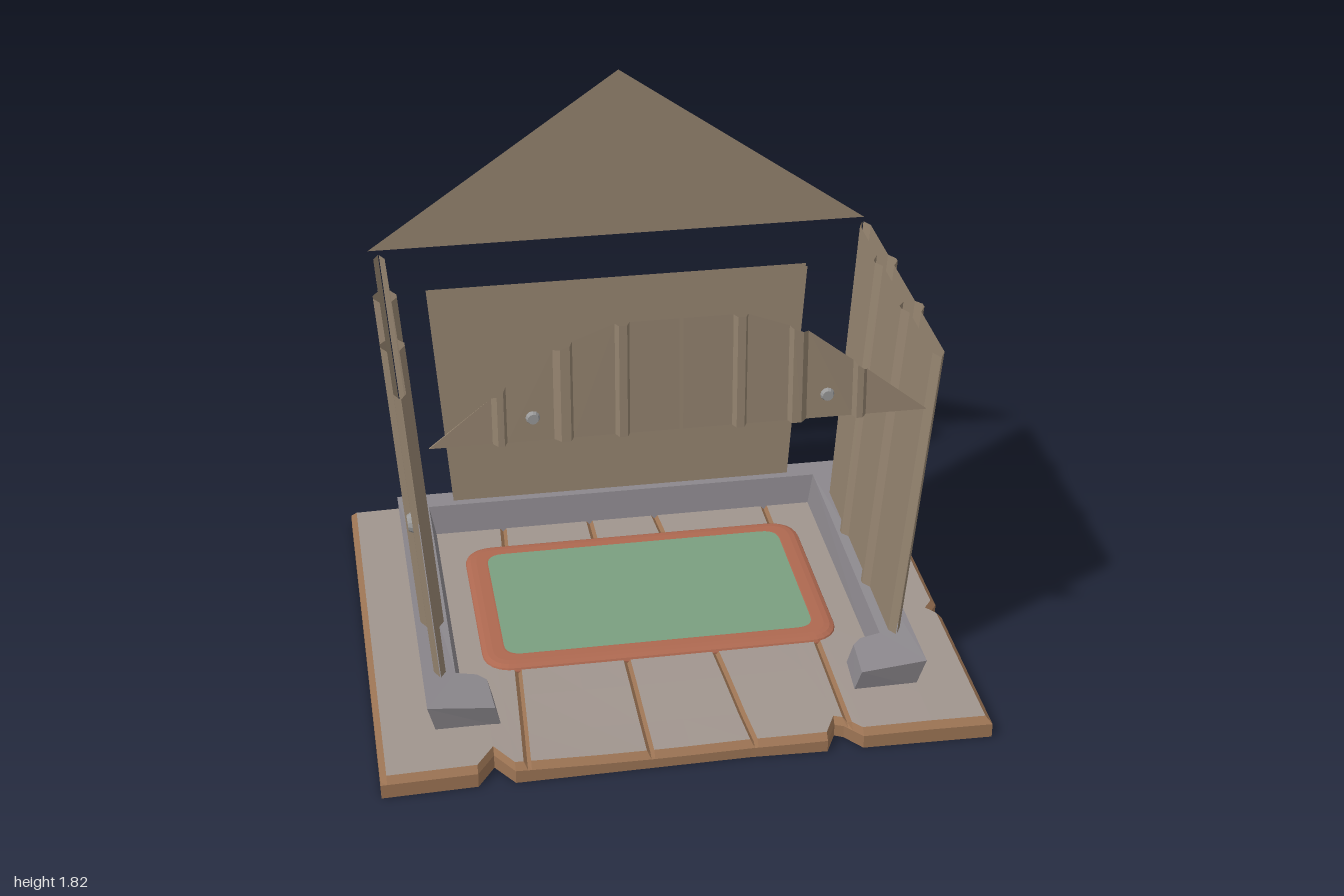
import * as THREE from 'three';

const mat = (color) => new THREE.MeshStandardMaterial({ color, side: THREE.DoubleSide, flatShading: true });
const metalSheet = mat(0x94836f), stone = mat(0x8b878c), plankTop = mat(0xa0958e), plankEdge = mat(0x9c7454);
const rugRed = mat(0xad6850), rugGreen = mat(0x7a9f80), boltGrey = mat(0x999999);

function add(parent, name, geometry, material) {
  const mesh = new THREE.Mesh(geometry, material);
  mesh.name = name;
  parent.add(mesh);
  return mesh;
}

// Piecewise linear lookup through [x, value] pairs
function lookup(pairs, x) {
  for (let i = 1; i < pairs.length; i++) {
    const [a, va] = pairs[i - 1], [b, vb] = pairs[i];
    if (x <= b) return va + (vb - va) * Math.max(0, (x - a) / (b - a));
  }
  return pairs[pairs.length - 1][1];
}

// Faceted surface through rows of [x, y, z] points; keep() selects the quads
function surface(rows, keep = () => true) {
  const pos = [];
  for (let j = 0; j < rows.length - 1; j++) {
    for (let i = 0; i < rows[j].length - 1; i++) {
      if (!keep(i, j)) continue;
      const a = rows[j][i], b = rows[j][i + 1], c = rows[j + 1][i + 1], d = rows[j + 1][i];
      pos.push(...a, ...d, ...c, ...a, ...c, ...b);
    }
  }
  const g = new THREE.BufferGeometry();
  g.setAttribute('position', new THREE.Float32BufferAttribute(pos, 3));
  g.computeVertexNormals();
  return g;
}

function roundedRect(path, w, d, r) {
  path.moveTo(-w + r, -d);
  path.lineTo(w - r, -d).quadraticCurveTo(w, -d, w, -d + r);
  path.lineTo(w, d - r).quadraticCurveTo(w, d, w - r, d);
  path.lineTo(-w + r, d).quadraticCurveTo(-w, d, -w, d - r);
  path.lineTo(-w, -d + r).quadraticCurveTo(-w, -d, -w + r, -d);
  return path;
}

// Worn plank floor: an open-bottomed shell with ragged ends and grooves
function buildFloor() {
  const floor = new THREE.Group();
  floor.name = 'floor';
  const backEdge = [[-1, -0.82], [-0.7, -0.83], [-0.13, -0.8], [0.1, -0.825], [0.53, -0.8], [1, -0.825]];
  const frontEdge = [[-1, 0.83], [-0.69, 0.82], [-0.63, 0.73], [-0.57, 0.82], [0.2, 0.81],
    [0.45, 0.82], [0.49, 0.74], [0.515, 0.75], [0.57, 0.82], [1, 0.83]];
  // Columns: back x, front x, height, groove flag
  const cols = [[-1, -1, 0], [-1, -1, 0.05], [-0.98, -0.98, 0.072]];
  const plain = (x) => cols.push([x, x, 0.072]);
  const groove = (b, f) => [-0.012, 0, 0.012].forEach((o) => cols.push([b + o, f + o, o ? 0.072 : 0.06, o < 0.01]));
  [-0.69, -0.63, -0.57].forEach(plain);
  groove(-0.44, -0.53);
  plain(-0.3);
  groove(-0.13, -0.13);
  plain(0);
  groove(0.1, 0.21);
  [0.33, 0.45, 0.49].forEach(plain);
  groove(0.53, 0.53);
  [0.57, 0.8].forEach(plain);
  cols.push([0.98, 0.98, 0.072], [1, 1, 0.05], [1, 1, 0]);
  // Rows: either offset from an edge or an inner z
  const rows = [['b', 0, 0], ['b', 0, 0.05], ['b', 0.02, 0.072]];
  [-0.5, 0, 0.12, 0.16, 0.2, 0.45, 0.65].forEach((z) => rows.push(['m', z, 0.072]));
  rows.push(['f', -0.02, 0.072], ['f', 0, 0.05], ['f', 0, 0]);
  const grid = rows.map(([kind, v, hr]) => cols.map(([xb, xf, hc], i) => {
    const t = kind === 'b' ? 0 : kind === 'f' ? 1 : (v + 0.82) / 1.64;
    let x = xb + (xf - xb) * t;
    const z = kind === 'b' ? lookup(backEdge, x) + v : kind === 'f' ? lookup(frontEdge, x) + v : v;
    if (v === 0.16 && i >= cols.length - 3) x -= 0.03;
    let y = Math.min(hr, hc);
    if (y > 0.04) y -= 0.016 * Math.max(0, 1 - (x / 0.65) ** 2) * THREE.MathUtils.smoothstep(z, 0.3, 0.8);
    return [x, y, z];
  }));
  const isEdge = (i, j) => i < 2 || j < 2 || i > cols.length - 4 || j > rows.length - 4 || !!cols[i][3];
  add(floor, 'floorPlanks', surface(grid, (i, j) => !isEdge(i, j)), plankTop);
  add(floor, 'floorEdgesAndGrooves', surface(grid, isEdge), plankEdge);
  return floor;
}

// U-shaped kerb with wider front feet, narrowing towards its base
function buildFoundation() {
  const half = [[0.72, -0.62], [0.72, 0.41], [0.65, 0.42], [0.62, 0.45], [0.61, 0.61], [0.83, 0.61], [0.83, -0.71]];
  const pts = [...half, ...half.map(([x, z]) => [-x, z]).reverse()];
  const shape = new THREE.Shape(pts.map(([x, z]) => new THREE.Vector2(x, -z)));
  const g = new THREE.ExtrudeGeometry(shape, { depth: 0.125, bevelEnabled: false });
  g.rotateX(-Math.PI / 2);
  const p = g.attributes.position;
  for (let i = 0; i < p.count; i++) {
    let x = p.getX(i), y = p.getY(i), z = p.getZ(i);
    if (y < 0.01) { x *= 0.965; z *= 0.965; }
    else if (z > 0.4) y -= 0.01 + (0.83 - Math.abs(x)) * 0.1;
    p.setXYZ(i, x, y + 0.055, z);
  }
  g.computeVertexNormals();
  return g;
}

function buildRug() {
  const rug = new THREE.Group();
  rug.name = 'rug';
  const border = roundedRect(new THREE.Shape(), 0.575, 0.35, 0.07);
  border.holes.push(roundedRect(new THREE.Path(), 0.54, 0.32, 0.06));
  const bevel = { depth: 0.005, bevelSize: 0.04, bevelThickness: 0.02, bevelSegments: 3, curveSegments: 6 };
  add(rug, 'rugBorder', new THREE.ExtrudeGeometry(border, bevel).rotateX(-Math.PI / 2).translate(0, 0.062, 0), rugRed);
  add(rug, 'rugCentre', new THREE.ShapeGeometry(roundedRect(new THREE.Shape(), 0.535, 0.317, 0.06), 6)
    .rotateX(-Math.PI / 2).translate(0, 0.088, 0), rugGreen);
  rug.position.z = -0.085;
  return rug;
}

// Corrugated side wall on +x: inner and outer skins leaning outwards, with bolts
function buildSideWall() {
  const wall = new THREE.Group();
  const profile = [[0.48, -0.018], [0.445, 0], [0.16, 0], [0.125, 0.02], [0.105, 0.02], [0.08, 0],
    [-0.195, 0], [-0.225, 0.02], [-0.245, 0.02], [-0.28, 0], [-0.525, 0], [-0.56, -0.018]];
  const lean = 0.076, y0 = 0.16, y1 = 1.24;
  const skin = (x, sign) => surface([[y1, 1], [y0, 0.913]].map(([y, s]) =>
    profile.map(([z, o]) => [x + lean * (y - y1) + o * sign, y, -0.04 + (z + 0.04) * s])));
  add(wall, 'outerSheet', skin(0.872, 1), metalSheet);
  add(wall, 'innerSheet', skin(0.833, -1), metalSheet);
  for (const z of [0.29, -0.05, -0.38]) {
    const bolt = add(wall, 'wallBolt', new THREE.CylinderGeometry(0.026, 0.035, 0.016, 12), boltGrey);
    bolt.position.set(0.836, 0.68, z);
    bolt.rotation.z = -Math.PI / 2 - lean;
  }
  return wall;
}

// Arched, ribbed front panel, in two halves
function buildFrontPanel() {
  const panel = new THREE.Group();
  panel.name = 'frontPanel';
  const arch = [[0, 1.5], [0.2, 1.5], [0.395, 1.425], [0.58, 1.28], [0.78, 1.12]];
  const ribs = [[0.006, 0], [0.16, 0], [0.17, 0.022], [0.195, 0.022], [0.205, 0], [0.335, 0], [0.345, 0.022],
    [0.375, 0.022], [0.395, 0], [0.54, 0], [0.55, 0.022], [0.57, 0.022], [0.585, 0], [0.78, 0]];
  for (const side of [1, -1]) {
    const top = ribs.map(([x, o]) => [x * side, lookup(arch, x), 0.582 + o]);
    const bottom = ribs.map(([x, o]) => [x * side, 1.12, 0.588 + o]);
    add(panel, 'archSheet', surface([top, bottom]), metalSheet);
    const bolt = add(panel, 'archBolt', new THREE.CylinderGeometry(0.017, 0.023, 0.014, 12), boltGrey);
    bolt.position.set(0.46 * side, 1.2, 0.592);
    bolt.rotation.x = Math.PI / 2;
  }
  return panel;
}

export function createModel() {
  const model = new THREE.Group();
  model.name = 'shelter';
  model.add(buildFloor());
  add(model, 'foundation', buildFoundation(), stone);
  model.add(buildRug());

  // Mirrored side walls
  for (const side of [1, -1]) {
    const wall = buildSideWall();
    wall.name = side > 0 ? 'leftWall' : 'rightWall';
    wall.scale.x = side;
    model.add(wall);
  }

  // Back wall: two flat skins leaning backwards
  for (const [name, z] of [['backWallInner', -0.65], ['backWallOuter', -0.675]]) {
    const rows = [[-0.688, 1.017, z - 0.038], [-0.625, 0.16, z]].map(([x, y, zz]) => [[x, y, zz], [-x, y, zz]]);
    add(model, name, surface(rows), metalSheet);
  }

  // Back gable and front panel
  const gable = new THREE.Shape([[-0.885, 1.205], [0.885, 1.205], [0, 1.82]].map(([x, y]) => new THREE.Vector2(x, y)));
  add(model, 'backGable', new THREE.ShapeGeometry(gable).translate(0, 0, -0.67), metalSheet);
  model.add(buildFrontPanel());
  return model;
}
